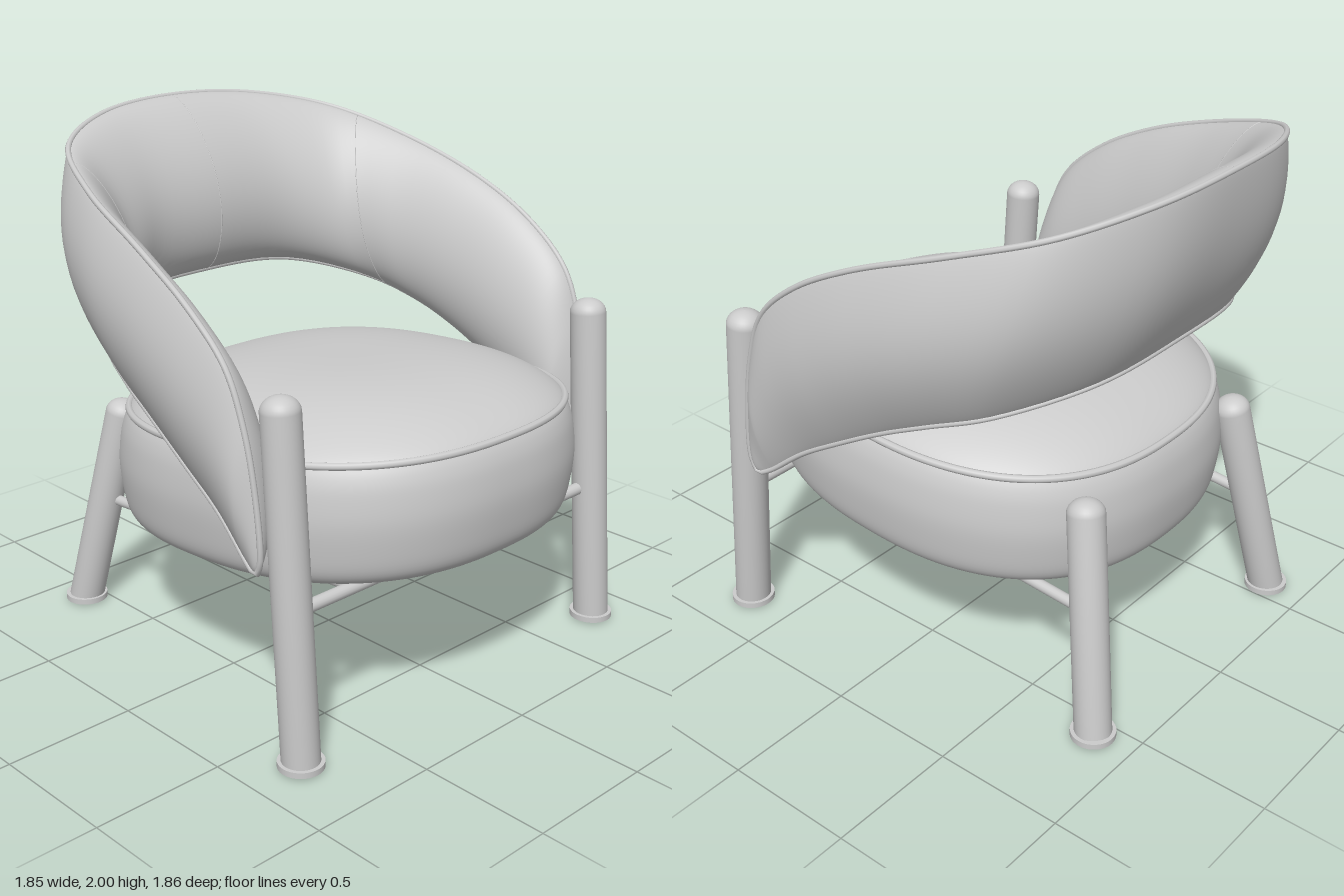
import * as THREE from 'three';

const V = (x, y, z) => new THREE.Vector3(x, y, z);
const material = new THREE.MeshStandardMaterial({ color: 0xcccccc, side: THREE.DoubleSide });

function addMesh(parent, name, geometry) {
  const mesh = new THREE.Mesh(geometry, material);
  mesh.name = name;
  parent.add(mesh);
  return mesh;
}

// Grid surface from fn(u, v), both 0..1; v may wrap into a closed ring.
function surface(fn, nu, nv, wrap = false) {
  const pos = [], index = [], cols = wrap ? nv : nv + 1;
  for (let i = 0; i <= nu; i++)
    for (let j = 0; j < cols; j++) pos.push(...fn(i / nu, j / nv).toArray());
  for (let i = 0; i < nu; i++)
    for (let j = 0; j < nv; j++) {
      const k = (j + 1) % cols;
      const a = i * cols + j, b = i * cols + k, d = a + cols, c = b + cols;
      index.push(a, b, d, b, c, d);
    }
  const g = new THREE.BufferGeometry();
  g.setAttribute('position', new THREE.Float32BufferAttribute(pos, 3));
  g.setIndex(index);
  g.computeVertexNormals();
  return g;
}

const tube = (points, r, closed, n) =>
  new THREE.TubeGeometry(new THREE.CatmullRomCurve3(points, closed), n, r, 8, closed);

// Mirror a half curve (starting at x = 0) into a full one.
function mirrored(half, sign = -1) {
  const other = half.slice(1).reverse().map(p => V(sign * p[0], p[1], p[2]));
  return new THREE.CatmullRomCurve3([...other, ...half.map(p => V(...p))]);
}

// ---- Backrest shell: upper edge, lower edge, padding depth (inner, outer) ----
const upper = mirrored([
  [0, 1.986, -0.915], [0.355, 1.965, -0.868], [0.65, 1.9, -0.69], [0.79, 1.8, -0.38],
  [0.85, 1.67, -0.02], [0.866, 1.53, 0.245], [0.865, 1.37, 0.425], [0.86, 1.18, 0.505],
  [0.855, 0.97, 0.548], [0.85, 0.74, 0.565], [0.845, 0.68, 0.545]]);
const lower = mirrored([
  [0, 1.31, -0.725], [0.41, 1.29, -0.68], [0.68, 1.205, -0.46], [0.76, 1.13, -0.25],
  [0.79, 1.05, -0.07], [0.81, 0.935, 0.14], [0.82, 0.825, 0.32], [0.835, 0.715, 0.46],
  [0.84, 0.695, 0.49], [0.845, 0.68, 0.52], [0.845, 0.68, 0.545]]);
const padding = mirrored([
  [0.19, 0.055, 0], [0.18, 0.066, 0], [0.165, 0.085, 0], [0.155, 0.095, 0], [0.145, 0.094, 0],
  [0.145, 0.086, 0], [0.14, 0.072, 0], [0.125, 0.055, 0], [0.09, 0.032, 0], [0.03, 0.012, 0],
  [0, 0, 0]], 1);

function shellPoint(u, t, inner) {
  const top = upper.getPoint(u), bottom = lower.getPoint(u);
  const chord = bottom.clone().sub(top).normalize();
  const p = top.lerp(bottom, t);
  const back = Math.min(0, p.z);
  // Outward direction, square to the line between the two edges
  const n = V(p.x * Math.abs(p.x) / 0.74, 0, -back * back / 0.81).normalize();
  n.addScaledVector(chord, -n.dot(chord)).normalize();
  const pad = padding.getPoint(u);
  const bulge = inner
    ? -pad.x * Math.pow(Math.max(0, Math.sin(Math.PI * Math.pow(t, 1.15))), 0.48)
    : pad.y * Math.pow(Math.max(0, Math.sin(Math.PI * t)), 0.85);
  return p.addScaledVector(n, bulge);
}

function buildBackrest() {
  const g = new THREE.Group();
  g.name = 'backrest';
  const ease = v => (1 - Math.cos(Math.PI * v)) / 2;
  addMesh(g, 'backrestOuter', surface((u, v) => shellPoint(u, 1 - ease(v), false), 120, 24));
  addMesh(g, 'backrestInner', surface((u, v) => shellPoint(u, ease(v), true), 120, 40));
  // Piping round the whole rim
  const rim = upper.getPoints(100);
  rim.push(...lower.getPoints(100).slice(1, -1).reverse());
  addMesh(g, 'backrestPiping', tube(rim, 0.011, true, 300));
  // Stitched seams on the inner face
  for (const u of [0.38, 0.5, 0.62]) {
    const line = [];
    for (let i = 0; i <= 24; i++) line.push(shellPoint(u, ease(i / 24), true));
    addMesh(g, 'backrestSeam', tube(line, 0.002, false, 48));
  }
  return g;
}

// ---- Seat: rounded plan scaled by s, sloping down to the back ----
function seatPoint(s, h, angle) {
  const round = c => Math.sign(c) * Math.pow(Math.abs(c), 2 / 2.4);
  const z = 0.083 + 0.85 * s * round(Math.cos(angle));
  return V(0.78 * s * round(Math.sin(angle)), 0.967 + 0.075 * z + h, z);
}

function buildSeat() {
  const g = new THREE.Group();
  g.name = 'seat';
  const side = new THREE.SplineCurve([
    [0.87, -0.445], [0.93, -0.43], [0.968, -0.385], [0.988, -0.3], [0.997, -0.2],
    [0.985, -0.1], [0.965, -0.04], [0.94, 0]].map(p => new THREE.Vector2(...p)));
  const TAU = Math.PI * 2;
  addMesh(g, 'seatSide', surface((u, v) => {
    const p = side.getPoint(u);
    return seatPoint(p.x, p.y, v * TAU);
  }, 32, 120, true));
  addMesh(g, 'seatBase', surface((u, v) => seatPoint(0.87 * u, -0.445, v * TAU), 4, 120, true));
  addMesh(g, 'seatCrown', surface((u, v) => {
    const s = Math.cos(u * Math.PI / 2);
    return seatPoint(0.94 * s, 0.175 * Math.pow(1 - s * s * s, 0.8), v * TAU);
  }, 28, 120, true));
  const rim = [];
  for (let i = 0; i < 120; i++) rim.push(seatPoint(0.945, 0, i / 120 * TAU));
  addMesh(g, 'seatPiping', tube(rim, 0.014, true, 240));
  return g;
}

// ---- Legs and frame ----
function orient(mesh, a, b) {
  mesh.position.copy(a);
  mesh.quaternion.setFromUnitVectors(V(0, 1, 0), b.clone().sub(a).normalize());
}

function addLeg(parent, name, foot, top) {
  const g = new THREE.Group();
  g.name = name;
  const L = foot.distanceTo(top), r = 0.069;
  const profile = [[0, 0], [r, 0], [r, L - 0.055]];
  for (let i = 1; i <= 8; i++) {
    const a = i / 8 * Math.PI / 2;
    profile.push([r * Math.cos(a), L - 0.055 + 0.055 * Math.sin(a)]);
  }
  const post = addMesh(g, 'legPost',
    new THREE.LatheGeometry(profile.map(p => new THREE.Vector2(...p)), 32));
  orient(post, foot, top);
  const pad = addMesh(g, 'footPad', new THREE.CylinderGeometry(0.083, 0.083, 0.022, 32));
  pad.position.set(foot.x, 0.011, foot.z);
  parent.add(g);
}

function addBar(parent, name, a, b, r) {
  const L = a.distanceTo(b);
  const bar = addMesh(parent, name, new THREE.CylinderGeometry(r, r, L, 16).translate(0, L / 2, 0));
  orient(bar, a, b);
}

export function createModel() {
  const model = new THREE.Group();
  model.name = 'armchair';
  model.add(buildSeat(), buildBackrest());
  for (const [s, label] of [[1, 'Left'], [-1, 'Right']]) {
    addLeg(model, 'frontLeg' + label, V(s * 0.795, 0.01, 0.695), V(s * 0.79, 1.305, 0.6));
    addLeg(model, 'rearLeg' + label, V(s * 0.578, 0.01, -0.838), V(s * 0.45, 0.87, -0.685));
    addBar(model, 'sideRail' + label, V(s * 0.5, 0.55, 0.64), V(s * 0.5, 0.445, -0.76), 0.021);
  }
  addBar(model, 'frontRail', V(-0.78, 0.55, 0.645), V(0.78, 0.55, 0.645), 0.024);
  addBar(model, 'rearRail', V(-0.5, 0.473, -0.42), V(0.5, 0.473, -0.42), 0.021);
  return model;
}
